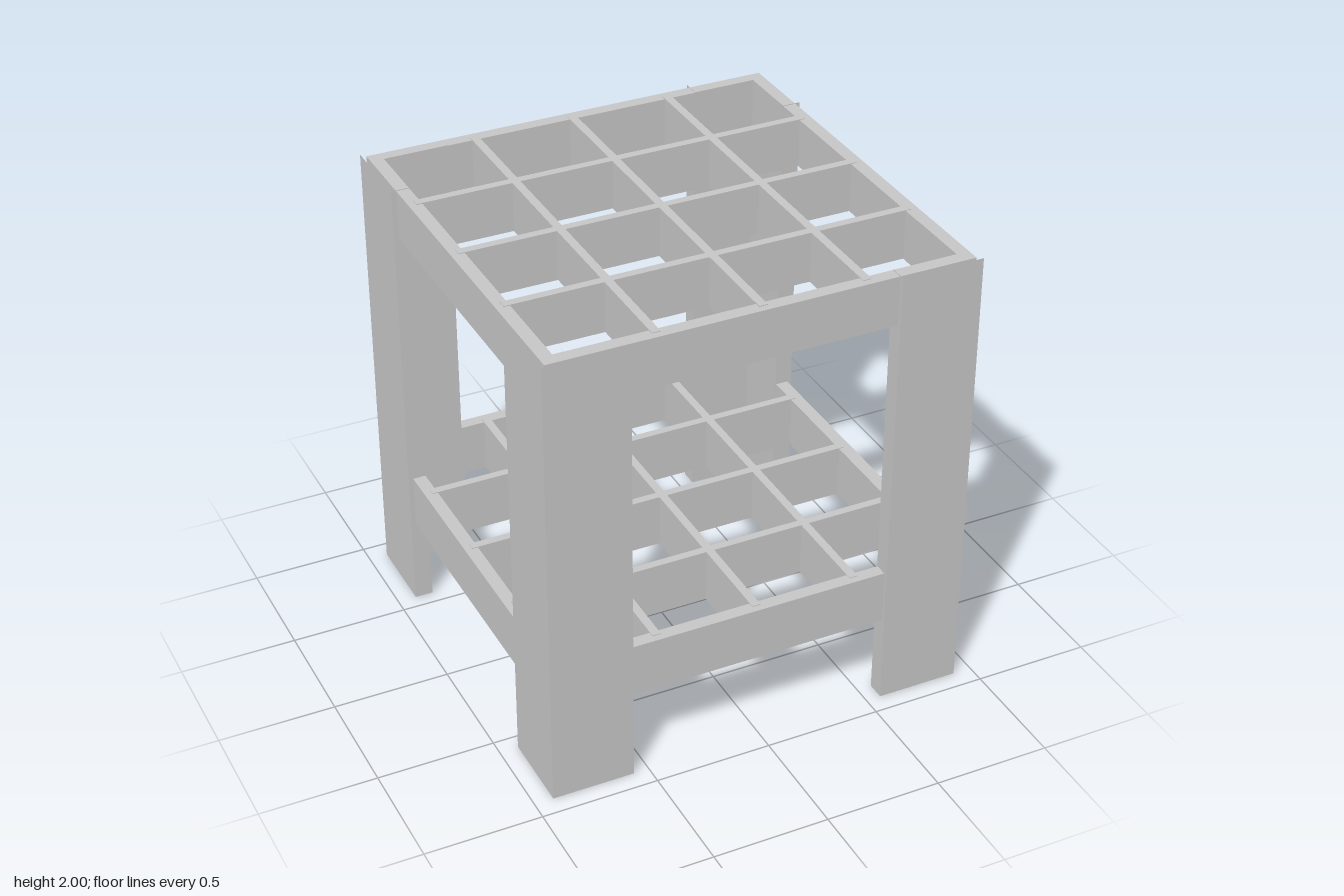
import * as THREE from 'three';

const grey = new THREE.MeshStandardMaterial({ color: 0xc7c7c7 });
grey.name = 'plain grey';

function board(name, w, h, d, x, y, z) {
  const mesh = new THREE.Mesh(new THREE.BoxGeometry(w, h, d), grey);
  mesh.name = name;
  mesh.position.set(x, y, z);
  return mesh;
}

// Vertical outward-facing walls along a closed outline of (x, z) corners, open at both ends
function openPrism(outline, height) {
  const pos = [];
  outline.forEach(([ax, az], i) => {
    const [bx, bz] = outline[(i + 1) % outline.length];
    pos.push(ax, 0, az, bx, height, bz, bx, 0, bz);
    pos.push(ax, 0, az, ax, height, az, bx, height, bz);
  });
  const geo = new THREE.BufferGeometry();
  geo.setAttribute('position', new THREE.Float32BufferAttribute(pos, 3));
  geo.computeVertexNormals();
  return geo;
}

// Square frame filled with a lattice of crossing slats that stand just proud of it
function createShelf(name, bottom, top) {
  const shelf = new THREE.Group();
  shelf.name = name;
  const outer = 0.899, inner = 0.843, slat = 0.036, reach = 0.868, proud = 0.003;
  const h = top - bottom, y = (top + bottom) / 2;
  const railH = h - proud, railY = y - proud / 2;
  const t = outer - inner, mid = (outer + inner) / 2;
  for (const s of [-1, 1]) {
    shelf.add(board(s > 0 ? 'frontRail' : 'backRail', outer * 2, railH, t, 0, railY, s * mid));
    shelf.add(board(s > 0 ? 'leftRail' : 'rightRail', t, railH, inner * 2, s * mid, railY, 0));
  }
  for (const p of [-0.44, 0, 0.44]) {
    shelf.add(board('crossSlat', reach * 2, h, slat, 0, y, p));
    shelf.add(board('lengthSlat', slat, h, reach * 2, p, y, 0));
  }
  return shelf;
}

export function createModel() {
  const model = new THREE.Group();
  model.name = 'sideTable';

  // Hollow L-shaped corner legs
  const o = 0.919, i = 0.841, e = 0.565;
  const legGeo = openPrism([[o, o], [e, o], [e, i], [i, i], [i, e], [o, e]], 2);
  const names = ['frontLeftLeg', 'backLeftLeg', 'backRightLeg', 'frontRightLeg'];
  names.forEach((name, k) => {
    const leg = new THREE.Mesh(legGeo, grey);
    leg.name = name;
    leg.rotation.y = k * Math.PI / 2;
    model.add(leg);
  });

  model.add(createShelf('topShelf', 1.782, 2));
  model.add(createShelf('lowerShelf', 0.383, 0.62));
  return model;
}
